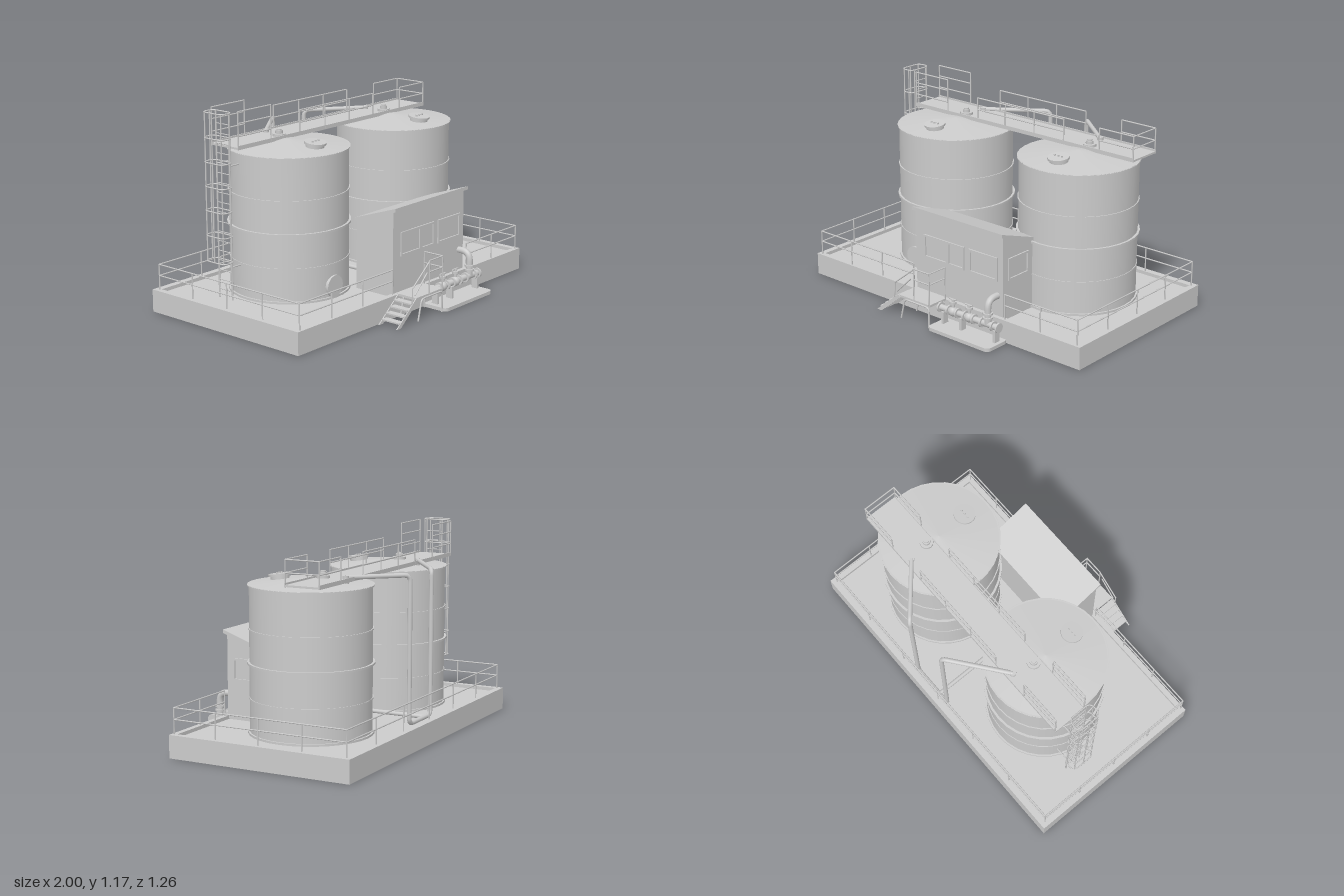
import * as THREE from 'three';

const mat = new THREE.MeshStandardMaterial({ color: 0xcccccc, side: THREE.DoubleSide });
const V = (p) => new THREE.Vector3(...p);

function add(parent, name, geo, pos = [0, 0, 0], rot = [0, 0, 0]) {
  const m = new THREE.Mesh(geo, mat);
  m.name = name;
  m.position.set(...pos);
  m.rotation.set(...rot);
  parent.add(m);
  return m;
}
function group(parent, name) {
  const g = new THREE.Group();
  g.name = name;
  parent.add(g);
  return g;
}
// Box given by its minimum and maximum corners
function box(parent, name, a, b) {
  return add(parent, name, new THREE.BoxGeometry(b[0] - a[0], b[1] - a[1], b[2] - a[2]),
    a.map((v, i) => (v + b[i]) / 2));
}
// Straight round bar between two points
function rod(parent, name, a, b, r = 0.004, sides = 6) {
  const d = V(b).sub(V(a));
  const m = add(parent, name, new THREE.CylinderGeometry(r, r, d.length(), sides), a.map((v, i) => (v + b[i]) / 2));
  m.quaternion.setFromUnitVectors(new THREE.Vector3(0, 1, 0), d.normalize());
  return m;
}
// Pipe through corner points, with a rounded bend at each corner
function pipe(parent, name, pts, r, bend = 0.05) {
  const path = new THREE.CurvePath(), p = pts.map(V);
  let from = p[0];
  for (let i = 1; i < p.length - 1; i++) {
    const before = p[i].clone().add(p[i - 1].clone().sub(p[i]).setLength(bend));
    const after = p[i].clone().add(p[i + 1].clone().sub(p[i]).setLength(bend));
    path.add(new THREE.LineCurve3(from, before));
    path.add(new THREE.QuadraticBezierCurve3(before, p[i], after));
    from = after;
  }
  path.add(new THREE.LineCurve3(from, p[p.length - 1]));
  add(parent, name, new THREE.TubeGeometry(path, 70, r, 10));
}
// Railing: posts spaced along a straight run, with bars at the given heights
function railing(parent, name, a, b, y0, heights, spans) {
  const g = group(parent, name);
  const at = (t, y) => [a[0] + (b[0] - a[0]) * t, y, a[1] + (b[1] - a[1]) * t];
  for (let i = 0; i <= spans; i++) rod(g, 'post', at(i / spans, y0), at(i / spans, Math.max(...heights)));
  for (const h of heights) rod(g, 'bar', at(0, h), at(1, h));
}
function roundedRect(x0, z0, x1, z1, r) {
  const s = new THREE.Shape();
  s.absarc(x1 - r, z1 - r, r, 0, Math.PI / 2);
  s.absarc(x0 + r, z1 - r, r, Math.PI / 2, Math.PI);
  s.absarc(x0 + r, z0 + r, r, Math.PI, Math.PI * 1.5);
  s.absarc(x1 - r, z0 + r, r, Math.PI * 1.5, Math.PI * 2);
  s.closePath();
  return s;
}

function buildTank(parent, x) {
  const g = group(parent, 'tank');
  g.position.set(x, 0, -0.13);
  add(g, 'tankShell', new THREE.CylinderGeometry(0.335, 0.335, 0.815, 32, 1, true), [0, 0.5225, 0]);
  add(g, 'tankRoof', new THREE.ConeGeometry(0.345, 0.035, 32), [0, 0.9475, 0]);
  for (const [y, r, h] of [[0.926, 0.343, 0.01], [0.69, 0.341, 0.008], [0.503, 0.348, 0.012], [0.31, 0.339, 0.008], [0.12, 0.345, 0.012]])
    add(g, 'tankHoop', new THREE.CylinderGeometry(r, r, h, 32), [0, y, 0]);
  // Roof manhole and its bolts, tilted with the roof
  const hatch = group(g, 'roofManhole');
  hatch.position.set(0.008, 0.955, 0.19);
  hatch.rotation.x = 0.13;
  add(hatch, 'neck', new THREE.CylinderGeometry(0.052, 0.052, 0.02, 20));
  add(hatch, 'lid', new THREE.CylinderGeometry(0.062, 0.062, 0.012, 20), [0, 0.014, 0]);
  for (const bx of [-0.025, 0, 0.025]) add(hatch, 'lidKnob', new THREE.CylinderGeometry(0.006, 0.006, 0.01, 8), [bx, 0.024, 0]);
  // Vent nozzle through the walkway
  for (const [y, r, h] of [[0.975, 0.038, 0.015], [0.985, 0.022, 0.03], [1, 0.015, 0.016]])
    add(g, 'ventNozzle', new THREE.CylinderGeometry(r, r, h, 12), [0.01, y, -0.08]);
}

function buildCabin(parent) {
  const g = group(parent, 'cabin');
  // Side profile in (z, y), extruded along x
  const prism = (name, pts, x0, x1) => {
    const s = new THREE.Shape(pts.map(([z, y]) => new THREE.Vector2(-z, y)));
    add(g, name, new THREE.ExtrudeGeometry(s, { depth: x1 - x0, bevelEnabled: false }), [x0, 0, 0], [0, Math.PI / 2, 0]);
  };
  prism('cabinBody', [[0.18, 0.11], [0.445, 0.11], [0.445, 0.598], [0.18, 0.505]], -0.195, 0.45);
  prism('cabinRoof', [[0.175, 0.503], [0.467, 0.603], [0.467, 0.623], [0.175, 0.523]], -0.205, 0.46);
  const frame = (name, w, h, pos, ry) => {
    const s = new THREE.Shape([[-w, -h], [w, -h], [w, h], [-w, h]].map((p) => new THREE.Vector2(p[0] / 2, p[1] / 2)));
    const i = 0.012;
    s.holes.push(new THREE.Path([[-1, -1], [-1, 1], [1, 1], [1, -1]].map(([a, b]) => new THREE.Vector2(a * (w / 2 - i), b * (h / 2 - i)))));
    add(g, name, new THREE.ExtrudeGeometry(s, { depth: 0.008, bevelEnabled: false }), pos, [0, ry, 0]);
  };
  for (const [x, w] of [[-0.043, 0.178], [0.108, 0.124], [0.308, 0.208]]) frame('frontWindowFrame', w, 0.138, [x, 0.402, 0.445], 0);
  frame('sideWindowFrame', 0.17, 0.13, [0.45, 0.4, 0.32], Math.PI / 2);
}

function buildSteps(parent) {
  const g = group(parent, 'entrySteps');
  box(g, 'landing', [-0.19, 0.125, 0.47], [0.05, 0.138, 0.605]);
  for (let i = 0; i < 4; i++) box(g, 'tread', [-0.335 + i * 0.035, 0.022 + i * 0.028, 0.48], [-0.295 + i * 0.035, 0.03 + i * 0.028, 0.605]);
  for (const z of [0.48, 0.605]) {
    // Sloping stringer
    const s = new THREE.Shape([[-0.36, 0], [-0.325, 0], [-0.17, 0.125], [-0.19, 0.138]].map((p) => new THREE.Vector2(...p)));
    add(g, 'stringer', new THREE.ExtrudeGeometry(s, { depth: 0.006, bevelEnabled: false }), [0, 0, z - 0.003]);
    pipe(g, 'landingLeg', [[-0.17, 0, z], [-0.14, 0.122, z], [0.045, 0.122, z], [0.045, 0, z]], 0.005, 0.025);
  }
  // Guard rails on the outer side and the far end
  const z = 0.603;
  for (const [a, b] of [[-0.22, -0.07], [-0.2, -0.09]]) rod(g, 'handrail', [a, a < -0.21 ? 0.2 : 0.155, z], [b, a < -0.21 ? 0.32 : 0.26, z]);
  rod(g, 'handrailPost', [-0.22, 0.11, z], [-0.22, 0.2, z]);
  railing(g, 'landingRail', [-0.07, z], [0.048, z], 0.13, [0.26, 0.325], 1);
  railing(g, 'landingEndRail', [0.048, z], [0.048, 0.475], 0.13, [0.26, 0.325], 1);
}

function buildManifold(parent) {
  const g = group(parent, 'fillingManifold');
  const slab = roundedRect(0.05, 0.46, 0.5, 0.63, 0.03);
  add(g, 'dripTray', new THREE.ExtrudeGeometry(slab, { depth: 0.02, bevelEnabled: false }), [0, 0.02, 0], [Math.PI / 2, 0, 0]);
  const z = 0.525, y = 0.107;
  rod(g, 'headerPipe', [0.06, y, z], [0.49, y, z], 0.018, 12);
  for (const x of [0.06, 0.125, 0.19, 0.245, 0.31, 0.37, 0.45, 0.488]) rod(g, 'flange', [x - 0.005, y, z], [x + 0.005, y, z], 0.029, 14);
  for (const x of [0.155, 0.275]) {
    add(g, 'valveBody', new THREE.SphereGeometry(0.028, 12, 8), [x, y, z]);
    rod(g, 'valveStem', [x, y, z], [x, 0.18, z], 0.01, 8);
    rod(g, 'valveCap', [x, 0.155, z], [x, 0.168, z], 0.02, 10);
    rod(g, 'valveHandle', [x - 0.028, 0.18, z], [x + 0.022, 0.18, z], 0.005);
  }
  pipe(g, 'risePipe', [[0.41, 0.25, 0.43], [0.41, 0.25, z], [0.41, y, z]], 0.019, 0.055);
  for (const h of [0.14, 0.165]) rod(g, 'riserFlange', [0.41, h, z], [0.41, h + 0.01, z], 0.028, 14);
  for (const x of [0.09, 0.225, 0.47]) box(g, 'pipeSupport', [x - 0.008, 0.018, z - 0.02], [x + 0.008, 0.09, z + 0.02]);
}

export function createModel() {
  const model = new THREE.Group();
  model.name = 'tankStation';

  // Shallow basin with raised rim
  const rim = new THREE.Shape([[-1, -0.63], [1, -0.63], [1, 0.47], [-1, 0.47]].map((p) => new THREE.Vector2(...p)));
  rim.holes.push(new THREE.Path([[-0.965, -0.592], [-0.965, 0.438], [0.965, 0.438], [0.965, -0.592]].map((p) => new THREE.Vector2(...p))));
  add(model, 'basinRim', new THREE.ExtrudeGeometry(rim, { depth: 0.13, bevelEnabled: false }), [0, 0.13, 0], [Math.PI / 2, 0, 0]);
  box(model, 'basinFloor', [-0.97, 0, -0.6], [0.97, 0.11, 0.445]);

  for (const x of [-0.41, 0.507]) buildTank(model, x);

  // Round inspection hatch low on one tank
  rod(model, 'inspectionNeck', [-0.425, 0.187, 0.17], [-0.425, 0.187, 0.215], 0.052, 20);
  rod(model, 'inspectionCover', [-0.425, 0.187, 0.213], [-0.425, 0.187, 0.225], 0.062, 20);

  buildCabin(model);
  buildSteps(model);
  buildManifold(model);

  // Railing around the basin, open at the cabin
  const levels = [0.21, 0.275];
  for (const x of [-0.972, 0.972]) railing(model, 'sideRail', [x, 0.455], [x, -0.6], 0.13, levels, 4);
  railing(model, 'backRail', [-0.972, -0.6], [0.972, -0.6], 0.13, levels, 6);
  railing(model, 'frontRail', [-0.972, 0.455], [-0.21, 0.455], 0.13, levels, 3);
  railing(model, 'frontRail', [0.47, 0.455], [0.972, 0.455], 0.13, levels, 2);

  // Walkway across the tank roofs
  const walk = group(model, 'walkway');
  box(walk, 'walkwayDeck', [-0.77, 0.957, -0.372], [0.85, 0.968, -0.165]);
  for (const z of [-0.37, -0.168]) {
    box(walk, 'walkwayEdge', [-0.77, 0.955, z - 0.003], [0.85, 0.978, z + 0.003]);
    railing(walk, 'leftEndRail', [-0.765, z], [-0.51, z], 0.96, [1.03, 1.1, 1.165], 1);
    railing(walk, 'middleRail', [-0.275, z], [0.365, z], 0.96, [1.03, 1.1], 3);
    railing(walk, 'rightEndRail', [0.615, z], [0.845, z], 0.96, [1.03, 1.1], 1);
  }
  railing(walk, 'endRail', [0.845, -0.37], [0.845, -0.168], 0.96, [1.03, 1.1], 1);

  // Caged ladder beside the first tank
  const ladder = group(model, 'cagedLadder');
  for (const z of [-0.295, -0.195]) {
    rod(ladder, 'ladderStile', [-0.805, 0.11, z], [-0.805, 1.165, z], 0.005);
    for (const y of [0.3, 0.87]) rod(ladder, 'ladderBracket', [-0.805, y, z], [-0.72, y, z]);
  }
  for (let y = 0.16; y < 1.15; y += 0.055) rod(ladder, 'rung', [-0.805, y, -0.295], [-0.805, y, -0.195], 0.003);
  const hoop = new THREE.CatmullRomCurve3(roundedRect(-0.888, -0.318, -0.805, -0.17, 0.03).getPoints(5).slice(0, -1).map((p) => new THREE.Vector3(p.x, 0, p.y)), true, 'centripetal');
  for (const y of [0.335, 0.48, 0.62, 0.755, 0.89, 1.025, 1.165])
    add(ladder, 'cageHoop', new THREE.TubeGeometry(hoop, 40, 0.004, 6, true), [0, y, 0]);
  for (const [x, z] of [[-0.888, -0.244], [-0.88, -0.305], [-0.88, -0.183], [-0.83, -0.318], [-0.83, -0.17]])
    rod(ladder, 'cageBar', [x, 0.335, z], [x, 1.165, z]);

  // Tank pipes at the back, joined low down and led to the cabin
  const pipes = group(model, 'tankPipes');
  const z = -0.578;
  for (const [x, tx] of [[-0.06, -0.375], [0.21, 0.495]]) {
    pipe(pipes, 'tankPipe', [[tx, 0.975, -0.335], [x, 0.97, z], [x, 0.145, z], [0.075, 0.145, z]], 0.013, 0.035);
    rod(pipes, 'pipeInlet', [tx, 0.94, -0.335], [tx, 0.985, -0.335], 0.018, 12);
  }
  rod(pipes, 'feedPipe', [0.012, 0.145, z], [0.012, 0.145, 0.19], 0.012, 10);
  return model;
}
